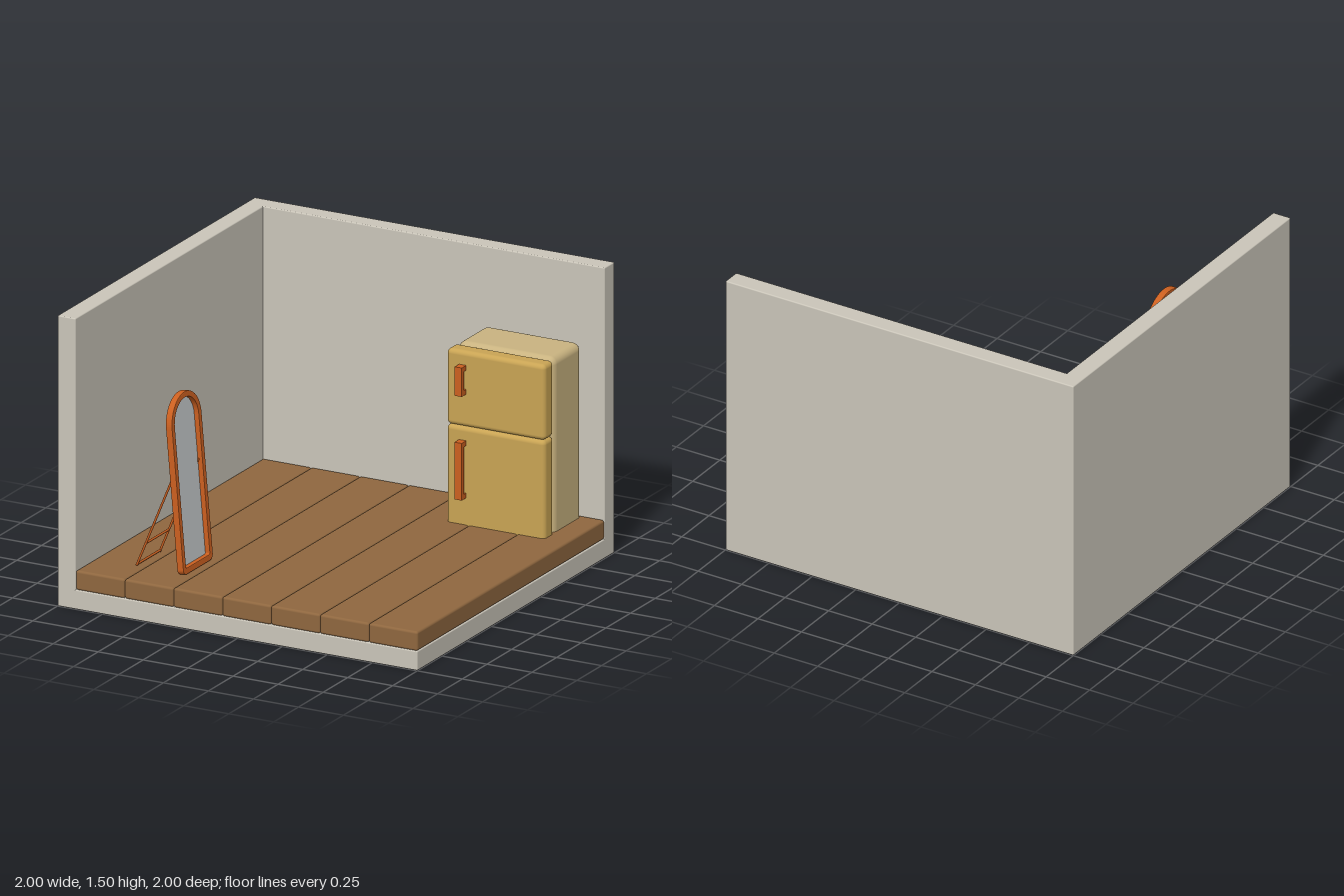
import * as THREE from 'three';
import { RoundedBoxGeometry } from 'three/addons/geometries/RoundedBoxGeometry.js';

const mat = (name, color) => {
  const m = new THREE.MeshStandardMaterial({ color });
  m.name = name;
  return m;
};

export function createModel() {
  const room = new THREE.Group();
  room.name = 'roomCorner';
  const plaster = mat('plaster', 0xcac5b9);
  const wood = mat('floorWood', 0x8f673f);
  const cream = mat('cabinetCream', 0xc9b380);
  const mustard = mat('doorMustard', 0xc9a454);
  const orange = mat('orangeTrim', 0xcc6020);
  const silver = mat('mirrorGlass', 0xc3c8ca);

  const add = (parent, name, geometry, material) => {
    const mesh = new THREE.Mesh(geometry, material);
    mesh.name = name;
    parent.add(mesh);
    return mesh;
  };
  // Box given by its limits on each axis, with optional rounded edges
  const box = (parent, name, material, [x0, x1], [y0, y1], [z0, z1], r = 0) => {
    const size = [x1 - x0, y1 - y0, z1 - z0];
    const geo = r ? new RoundedBoxGeometry(...size, 4, r) : new THREE.BoxGeometry(...size);
    const mesh = add(parent, name, geo, material);
    mesh.position.set((x0 + x1) / 2, (y0 + y1) / 2, (z0 + z1) / 2);
    return mesh;
  };

  // Slab and two walls
  box(room, 'baseSlab', plaster, [-1, 1], [0, 0.1], [-1, 1], 0.006);
  box(room, 'leftWall', plaster, [-1, -0.9], [0, 1.5], [-1, 1], 0.006);
  box(room, 'backWall', plaster, [-1, 1], [0, 1.5], [-1, -0.9], 0.006);

  // Floor planks
  const plankWidth = 1.9 / 7;
  for (let i = 0; i < 7; i++) {
    const x = -0.9 + i * plankWidth;
    box(room, 'floorPlank', wood, [x, x + plankWidth], [0.1, 0.2], [-0.9, 1], 0.012);
  }

  // Refrigerator, sunk slightly into the floor so its foot stays square
  const fridge = new THREE.Group();
  fridge.name = 'refrigerator';
  room.add(fridge);
  box(fridge, 'cabinet', cream, [0.338, 0.877], [0.13, 1.1], [-0.896, -0.603], 0.04);
  box(fridge, 'lowerDoor', mustard, [0.334, 0.881], [0.15, 0.704], [-0.603, -0.507], 0.024);
  box(fridge, 'upperDoor', mustard, [0.334, 0.881], [0.704, 1.094], [-0.603, -0.507], 0.024);
  for (const [y0, y1] of [[0.34, 0.635], [0.875, 1.024]]) {
    const handle = new THREE.Group();
    handle.name = 'doorHandle';
    fridge.add(handle);
    box(handle, 'grip', orange, [0.406, 0.446], [y0, y1], [-0.485, -0.461]);
    box(handle, 'gripFoot', orange, [0.406, 0.446], [y0, y0 + 0.025], [-0.51, -0.485]);
    box(handle, 'gripFoot', orange, [0.406, 0.446], [y1 - 0.025, y1], [-0.51, -0.485]);
  }

  // Arched outline with rounded lower corners
  const arch = (Kind, half, bottom, spring, r) => {
    const s = new Kind();
    s.moveTo(-half + r, bottom);
    s.lineTo(half - r, bottom);
    s.absarc(half - r, bottom + r, r, -Math.PI / 2, 0, false);
    s.lineTo(half, spring);
    s.absarc(0, spring, half, 0, Math.PI, false);
    s.lineTo(-half, bottom + r);
    s.absarc(-half + r, bottom + r, r, Math.PI, Math.PI * 1.5, false);
    return s;
  };

  // Leaning mirror: frame and glass share one tilted group
  const standing = new THREE.Group();
  standing.name = 'standingMirror';
  room.add(standing);
  const leaf = new THREE.Group();
  leaf.name = 'mirrorLeaf';
  leaf.position.set(-0.408, 0.2, 0.68);
  leaf.rotation.z = 0.087;
  standing.add(leaf);
  const outline = arch(THREE.Shape, 0.146, 0.006, 0.75, 0.026);
  outline.holes.push(arch(THREE.Path, 0.124, 0.03, 0.75, 0.012));
  const frame = new THREE.ExtrudeGeometry(outline, {
    depth: 0.028, bevelThickness: 0.004, bevelSize: 0.004, bevelSegments: 2, curveSegments: 20,
  });
  frame.translate(0, 0, -0.014).rotateY(Math.PI / 2);
  add(leaf, 'mirrorFrame', frame, orange);
  const glass = new THREE.ExtrudeGeometry(arch(THREE.Shape, 0.13, 0.024, 0.75, 0.012), {
    depth: 0.006, bevelEnabled: false, curveSegments: 20,
  });
  glass.translate(0, 0, -0.014).rotateY(Math.PI / 2);
  add(leaf, 'mirrorGlass', glass, silver);

  // Rear stand: two thin legs joined by crossbars
  const rod = (name, a, b) => {
    const from = new THREE.Vector3(...a), to = new THREE.Vector3(...b);
    const dir = to.clone().sub(from);
    const mesh = add(standing, name, new THREE.CylinderGeometry(0.006, 0.006, dir.length(), 8), orange);
    mesh.position.copy(from).add(to).multiplyScalar(0.5);
    mesh.quaternion.setFromUnitVectors(new THREE.Vector3(0, 1, 0), dir.normalize());
  };
  for (const z of [0.56, 0.795]) rod('standLeg', [-0.672, 0.204, z], [-0.457, 0.72, z]);
  for (const [x, y] of [[-0.67, 0.21], [-0.622, 0.325]]) {
    rod('standCrossbar', [x, y, 0.56], [x, y, 0.795]);
  }
  return room;
}
